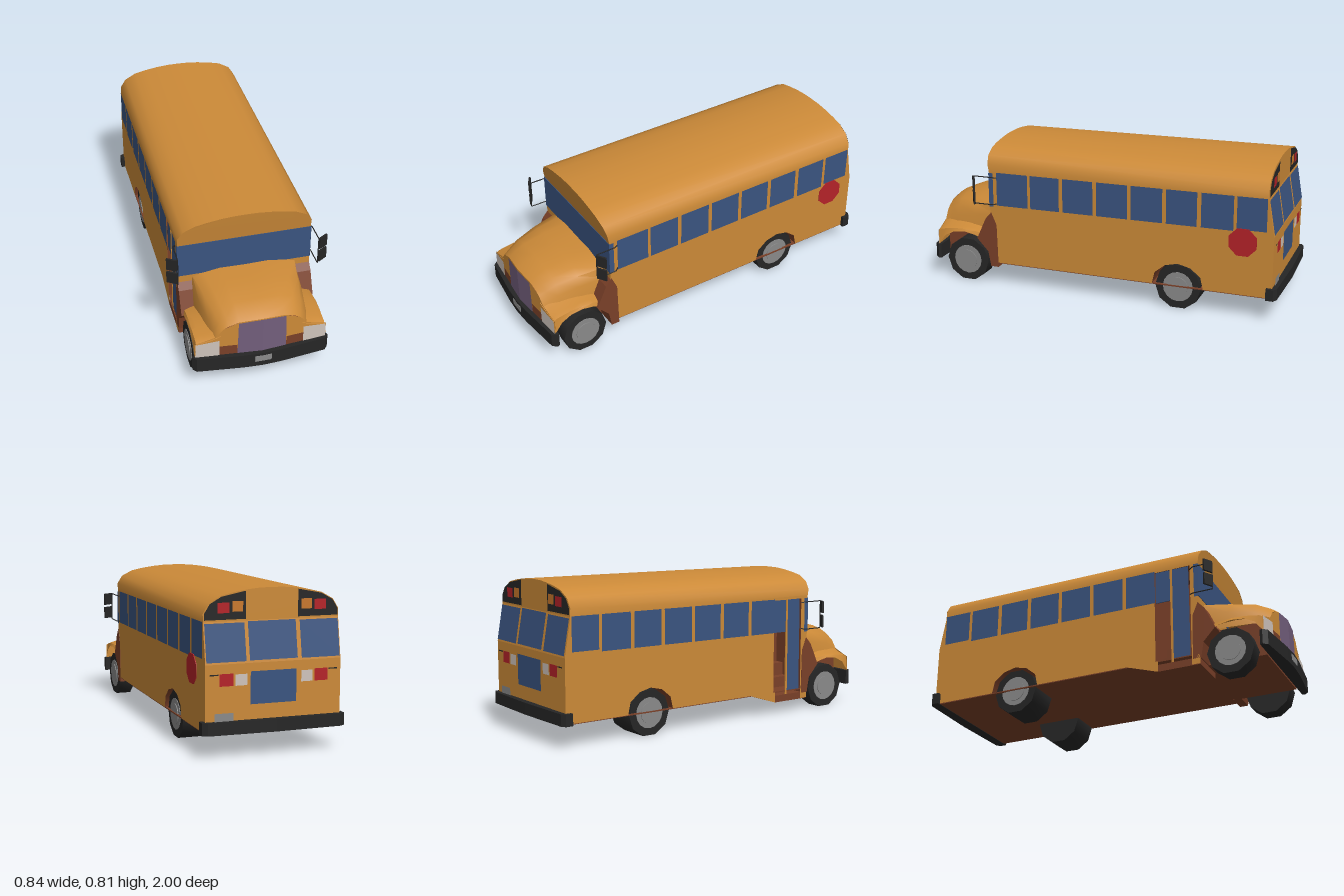
import * as THREE from 'three';
import { toCreasedNormals } from 'three/addons/utils/BufferGeometryUtils.js';

const paint = (name, color) => new THREE.MeshStandardMaterial({ name, color, side: THREE.DoubleSide });

export function createModel() {
  const bus = new THREE.Group();
  bus.name = 'schoolBus';
  const yellow = paint('yellow', 0xcc8a38), blue = paint('glassBlue', 0x3a5480), brown = paint('brown', 0x7a4028),
    black = paint('black', 0x262626), grey = paint('grey', 0x8a8a8a), red = paint('red', 0xb42228),
    white = paint('lampWhite', 0xcfc4bc), purple = paint('grillePurple', 0x725e7c), amber = paint('amber', 0xc8782c);

  const add = (name, geo, mat) => {
    const m = new THREE.Mesh(geo, mat);
    m.name = name;
    bus.add(m);
    return m;
  };
  const box = (name, mat, x0, x1, y0, y1, z0, z1) => {
    const m = add(name, new THREE.BoxGeometry(x1 - x0, y1 - y0, z1 - z0), mat);
    m.position.set((x0 + x1) / 2, (y0 + y1) / 2, (z0 + z1) / 2);
    return m;
  };
  const shape = pts => new THREE.Shape(pts.map(p => new THREE.Vector2(p[0], p[1])));
  // Flat outline carried into space by a rule
  const panel = (name, mat, pts, map) => {
    const g = new THREE.ShapeGeometry(shape(pts)), p = g.attributes.position;
    for (let i = 0; i < p.count; i++) p.setXYZ(i, ...map(p.getX(i), p.getY(i)));
    g.computeVertexNormals();
    return add(name, g, mat);
  };
  const rect = (a, b, c, d) => [[a, c], [b, c], [b, d], [a, d]];
  // Surface through rows of points
  const loft = (name, mat, rows, crease = 0.7) => {
    const n = rows[0].length, idx = [];
    for (let r = 0; r < rows.length - 1; r++)
      for (let i = 0; i < n - 1; i++) {
        const a = r * n + i, b = a + n;
        idx.push(a, b, a + 1, a + 1, b, b + 1);
      }
    const g = new THREE.BufferGeometry();
    g.setAttribute('position', new THREE.Float32BufferAttribute(rows.flat(2), 3));
    g.setIndex(idx);
    g.computeVertexNormals();
    return add(name, toCreasedNormals(g, crease), mat);
  };
  // Outline in (z, y) extruded from x0 to x1
  const sideExtrude = (name, mat, pts, x0, x1) => {
    const g = new THREE.ExtrudeGeometry(shape(pts.map(([z, y]) => [-z, y])), { depth: x1 - x0, bevelEnabled: false });
    g.rotateY(Math.PI / 2);
    g.translate(x0, 0, 0);
    return add(name, g, mat);
  };
  const mirrorHalf = half => [...half.slice(1).reverse().map(([x, ...r]) => [-x, ...r]), ...half];

  // Roof
  const arch = [[0, 0.815], [0.06, 0.814], [0.125, 0.808], [0.2, 0.796], [0.26, 0.782], [0.32, 0.748], [0.35, 0.7], [0.35, 0.645]];
  const lower = y => y - 0.02 * Math.max(0, (y - 0.645) / 0.17);
  const frontZ = y => 0.615 + 0.02 * Math.max(0, Math.min(1, (y - 0.645) / 0.14));
  const rearZ = y => -0.965 + 0.035 * Math.max(0, Math.min(1, (y - 0.46) / 0.2));
  const section = mirrorHalf(arch);
  loft('roof', yellow, [
    section.map(([x, y]) => [x, y, rearZ(y)]),
    section.map(([x, y]) => [x, lower(y), frontZ(y)]),
  ]);
  panel('roofFront', yellow, section.map(([x, y]) => [x, lower(y)]), (x, y) => [x, y, frontZ(y)]);
  panel('roofRear', yellow, mirrorHalf([...arch.slice(0, 7), [0.35, 0.66]]), (x, y) => [x, y, rearZ(y)]);

  // Front and rear walls
  box('windshield', blue, -0.352, 0.352, 0.455, 0.645, 0.61, 0.618);
  box('frontWall', yellow, -0.35, 0.35, 0.13, 0.455, 0.607, 0.615);
  const rear = (name, mat, pts, lift = 0) => panel(name, mat, pts, (x, y) => [x, y, rearZ(y) - lift]);
  rear('rearWallLower', yellow, rect(-0.35, 0.35, 0.13, 0.46));
  rear('rearWallUpper', yellow, rect(-0.35, 0.35, 0.46, 0.66));

  // Side walls with wheel arches, and the doorway on the right
  const archPts = [[-0.6, 0.13], [-0.585, 0.195], [-0.53, 0.24], [-0.46, 0.257], [-0.39, 0.24], [-0.335, 0.195], [-0.32, 0.13]];
  const doorway = [[0.37, 0.13], [0.37, 0.65], [0.57, 0.65], [0.57, 0.13]];
  for (const s of [1, -1]) {
    const outline = [[-0.965, 0.13], ...archPts, ...(s < 0 ? doorway : []),
      [0.615, 0.13], [0.615, 0.66], [-0.93, 0.66], [-0.965, 0.46]];
    panel('sideWall', yellow, outline, (z, y) => [s * 0.35, y, z]);
    loft('wheelArchLiner', brown, [0.35, 0.15].map(x => archPts.map(([z, y]) => [s * x, y, z])));
    panel('wheelArchBack', brown, archPts, (z, y) => [s * 0.15, y, z]);

    // Side windows, rising slightly to the rear
    const edges = [[0.571, 0.389], [0.373, 0.206], [0.185, 0.013], [-0.008, -0.18], [-0.2, -0.373],
      [-0.394, -0.56], [-0.582, -0.753], [-0.77, -0.926]];
    edges.forEach(([a, b], i) => {
      if (s < 0 && i === 0) return;
      const k = z => 0.008 * (0.57 - z);
      const low = i === 7 ? 0.474 : 0.464;
      panel('sideWindow', blue, [[a, low + k(a)], [b, low + k(b)], [b, 0.65 + k(b)], [a, 0.65 + k(a)]],
        (z, y) => [s * 0.353, y, z]);
    });
    panel('frontQuarterWindow', blue, rect(0.592, 0.618, 0.455, 0.645), (z, y) => [s * 0.353, y, z]);

    // Rear windows, lamps and black lamp panels
    const half = (name, mat, a, b, c, d, lift) => rear(name, mat, rect(s * a, s * b, c, d), lift);
    half('rearWindow', blue, 0.143, 0.345, 0.47, 0.652, 0.004);
    rear('lampPanel', black, [[0.135, 0.668], [0.345, 0.668], [0.345, 0.7], [0.317, 0.745], [0.258, 0.778], [0.135, 0.802]]
      .map(([x, y]) => [s * x, y]), 0.004);
    half('warningLampRed', red, 0.22, 0.28, 0.7, 0.75, 0.008);
    half('warningLampAmber', amber, 0.15, 0.205, 0.705, 0.755, 0.008);
    half('tailLamp', red, 0.21, 0.28, 0.355, 0.415, 0.005);
    half('reverseLamp', white, 0.14, 0.2, 0.355, 0.41, 0.005);
    half('lampTrim', black, 0.285, 0.33, 0.408, 0.414, 0.005);

    // Wheels
    for (const [z, inner] of [[-0.46, 0.16], [0.77, 0.25]]) {
      const wheel = new THREE.Group();
      wheel.name = 'wheel';
      const part = (name, mat, r, sides, x0, x1) => {
        const g = new THREE.CylinderGeometry(r, r, x1 - x0, sides).rotateZ(Math.PI / 2);
        const m = new THREE.Mesh(toCreasedNormals(g, 0.8), mat);
        m.name = name;
        m.position.x = s * (x0 + x1) / 2;
        wheel.add(m);
      };
      part('tyre', black, 0.125, 10, inner, 0.335);
      part('rim', grey, 0.082, 16, 0.32, 0.338);
      part('hub', grey, 0.055, 16, 0.33, 0.342);
      wheel.position.set(0, 0.123, z);
      bus.add(wheel);
    }

    // Cowl sides behind the front wheels
    const cowl = [[0.61, 0.42], [0.58, 0.35], [0.575, 0.105], [0.62, 0.105], [0.635, 0.19], [0.7, 0.26], [0.645, 0.38]];
    sideExtrude('cowlSide', brown, cowl, s > 0 ? 0.24 : -0.352, s > 0 ? 0.352 : -0.24);

    // Front fenders: z, top height, lower edge
    const rows = [[0.67, 0.295, 0.255], [0.72, 0.305, 0.273], [0.78, 0.31, 0.285], [0.85, 0.308, 0.278],
      [0.905, 0.3, 0.25], [0.93, 0.295, 0.215], [0.947, 0.285, 0.195]].map(([z, t, b]) =>
      [[0.21, t + 0.03], [0.26, t + 0.008], [0.31, t - 0.004], [0.334, t - 0.012], [0.342, b]]
        .map(([x, y]) => [s * x, y, z + (z > 0.94 ? 0.09 * (0.34 - x) : 0)]));
    loft('fender', yellow, s > 0 ? rows.reverse() : rows);

    // Nose panels, swept back from the centre line
    const nose = (name, mat, pts, lift = 0) =>
      panel(name, mat, pts, (x, y) => [s * x, y, 0.975 - 0.09 * x + lift]);
    nose('nosePanel', yellow, [[0, 0.195], [0.342, 0.195], [0.342, 0.275], [0.31, 0.285], [0.235, 0.31],
      [0.2, 0.355], [0.12, 0.392], [0, 0.4]]);
    nose('grille', purple, [[0, 0.195], [0.127, 0.195], [0.122, 0.388], [0.06, 0.393], [0, 0.397]], 0.004);
    nose('lowerGrille', brown, rect(0.127, 0.22, 0.195, 0.25), 0.003);
    nose('headlight', white, [[0.218, 0.195], [0.34, 0.195], [0.338, 0.275], [0.218, 0.29]], 0.005);

    // Mirrors on a bent bracket
    for (const y of [0.48, 0.56]) {
      const m = box('mirror', black, s * 0.394 - 0.028, s * 0.394 + 0.028, y, y + 0.066, 0.682, 0.692);
      m.rotation.y = s * 0.55;
    }
    const bar = new THREE.CurvePath();
    const pts = [[0.35, 0.62, 0.57], [0.365, 0.624, 0.59], [0.366, 0.624, 0.7], [0.366, 0.47, 0.7], [0.365, 0.47, 0.59], [0.35, 0.474, 0.57]]
      .map(([x, y, z]) => new THREE.Vector3(s * x, y, z));
    for (let i = 0; i < 5; i++) bar.add(new THREE.LineCurve3(pts[i], pts[i + 1]));
    add('mirrorBracket', new THREE.TubeGeometry(bar, 60, 0.003, 5), black);
  }
  rear('rearCentreWindow', blue, rect(-0.122, 0.125, 0.472, 0.656), 0.004);
  rear('rearLowerWindow', blue, rect(-0.115, 0.122, 0.26, 0.42), 0.004);
  rear('rearPlate', grey, rect(0.21, 0.305, 0.185, 0.225), 0.006);

  // Hood: cross-sections from the cowl to the nose
  const hood = [
    [0.615, [[0, 0.467], [0.13, 0.47], [0.22, 0.455], [0.272, 0.438], [0.283, 0.38], [0.29, 0.28]]],
    [0.75, [[0, 0.462], [0.125, 0.462], [0.2, 0.447], [0.248, 0.425], [0.268, 0.37], [0.28, 0.28]]],
    [0.87, [[0, 0.446], [0.122, 0.442], [0.185, 0.425], [0.223, 0.4], [0.25, 0.35], [0.265, 0.28]]],
    [0.94, [[0, 0.425], [0.12, 0.418], [0.175, 0.4], [0.21, 0.372], [0.238, 0.33], [0.25, 0.28]]],
    [0.975, [[0, 0.4], [0.12, 0.392], [0.17, 0.372], [0.2, 0.355], [0.235, 0.31], [0.245, 0.28]]],
  ].map(([z, half]) => mirrorHalf(half).map(([x, y]) => [x, y, z - (z > 0.9 ? 0.09 * Math.abs(x) : 0)]));
  loft('hood', yellow, hood.reverse().map(r => r.reverse()), 0.9);
  box('engineBay', brown, -0.245, 0.245, 0.105, 0.29, 0.58, 0.93);

  // Bumpers and front plate
  const bumper = new THREE.ExtrudeGeometry(shape(mirrorHalf([[0, 1], [0.1, 0.995], [0.335, 0.968], [0.355, 0.945], [0.35, 0.93]])),
    { depth: 0.08, bevelEnabled: false }).rotateX(Math.PI / 2);
  add('frontBumper', bumper, black).position.y = 0.195;
  box('frontPlate', grey, -0.043, 0.043, 0.145, 0.18, 0.996, 1.001);
  const tail = new THREE.ExtrudeGeometry(shape(mirrorHalf([[0, -1], [0.345, -0.99], [0.37, -0.975], [0.37, -0.935], [0.351, -0.935], [0.351, -0.96], [0, -0.96]].slice(0, 4))),
    { depth: 0.062, bevelEnabled: false }).rotateX(Math.PI / 2);
  add('rearBumper', tail, black).position.y = 0.186;

  // Floor and entry steps
  box('floor', brown, -0.348, 0.348, 0.126, 0.132, -0.96, 0.6);
  box('stepWell', brown, -0.35, -0.14, 0.072, 0.11, 0.383, 0.615);
  box('stepWellInner', brown, -0.25, -0.14, 0.1, 0.19, 0.372, 0.57);
  box('stepUpper', brown, -0.2, -0.14, 0.19, 0.26, 0.372, 0.57);
  box('entryBack', brown, -0.145, -0.14, 0.13, 0.65, 0.37, 0.57);
  for (const z of [0.368, 0.57]) box('entrySide', brown, -0.348, -0.14, 0.13, 0.65, z, z + 0.003);
  box('entryCeiling', brown, -0.348, -0.14, 0.65, 0.653, 0.37, 0.57);
  const right = (name, mat, pts, x) => panel(name, mat, pts, (z, y) => [x, y, z]);
  right('doorSkirt', yellow, [[0.206, 0.13], [0.383, 0.072], [0.383, 0.13]], -0.35);
  right('doorPost', yellow, rect(0.57, 0.615, 0.075, 0.13), -0.352);

  // Door: glazed front leaf, half-height glass behind it
  box('doorCentrePost', yellow, -0.35, -0.343, 0.11, 0.65, 0.458, 0.47);
  box('doorLeafGlass', blue, -0.347, -0.342, 0.13, 0.645, 0.47, 0.56);
  box('doorUpperGlass', blue, -0.347, -0.342, 0.465, 0.645, 0.375, 0.458);

  // Stop sign
  const sign = add('stopSign', new THREE.CylinderGeometry(0.079, 0.079, 0.004, 8).rotateY(Math.PI / 8).rotateZ(Math.PI / 2), red);
  sign.position.set(0.365, 0.422, -0.807);
  box('signArm', black, 0.348, 0.364, 0.41, 0.434, -0.82, -0.795);
  return bus;
}
